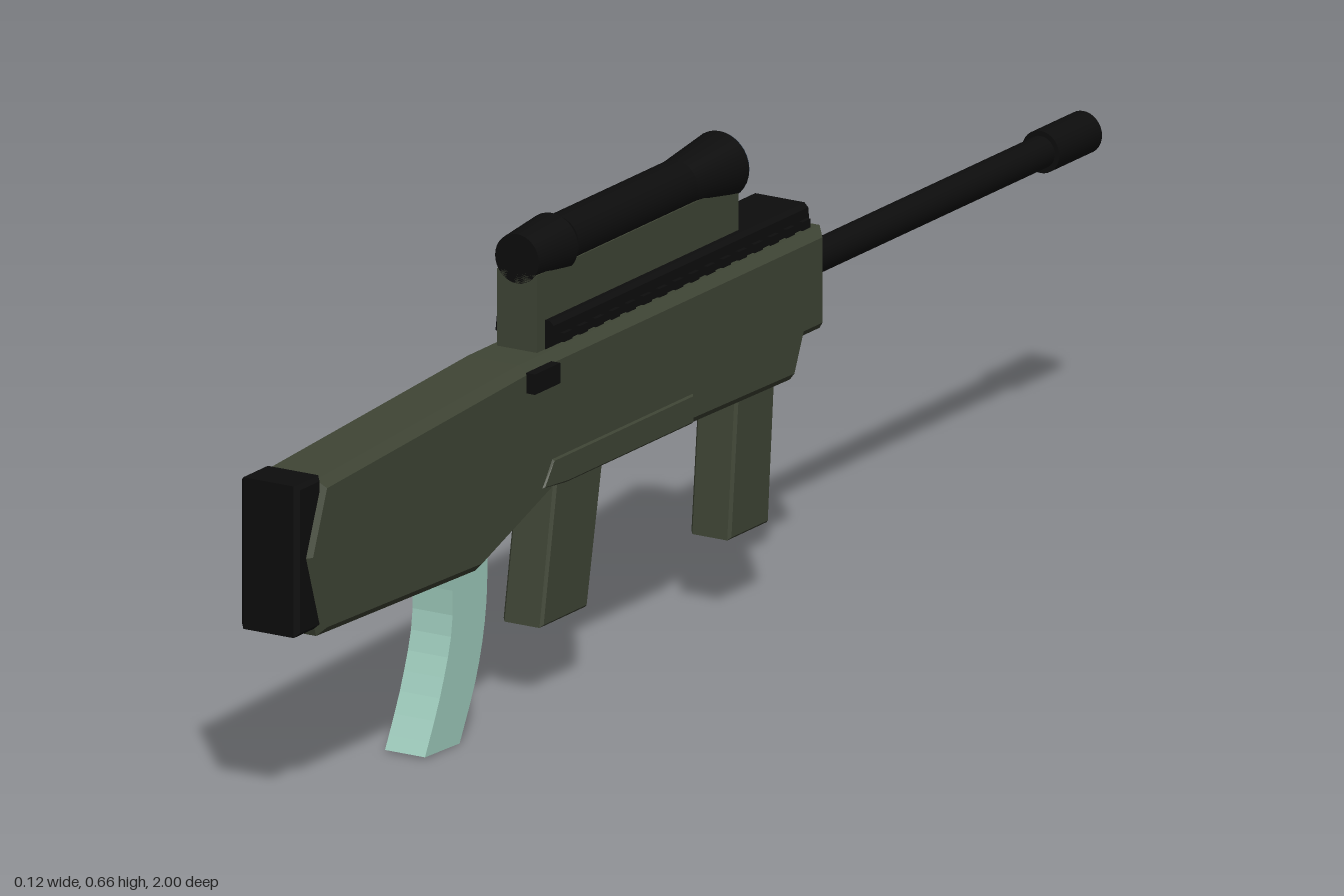
import * as THREE from 'three';

const CX = -0.0055; // centre plane of the symmetric parts

export function createModel() {
  const group = new THREE.Group();
  const mat = (name, color) => {
    const m = new THREE.MeshStandardMaterial({ color });
    m.name = name;
    return m;
  };
  const olive = mat('olive', 0x3f4535);
  const black = mat('black', 0x0d0d0d);
  const teal = mat('pale teal', 0x9fccbd);
  const glass = mat('lens blue', 0x2f3f50);

  const add = (name, geo, material) => {
    const m = new THREE.Mesh(geo, material);
    m.name = name;
    group.add(m);
    return m;
  };
  // Side profile of [z, y] points, given a width across x and a chamfer
  const slab = (name, pts, width, bevel, material) => {
    const shape = new THREE.Shape(pts.map(([z, y]) => new THREE.Vector2(z, y)));
    const geo = new THREE.ExtrudeGeometry(shape, {
      depth: width - 2 * bevel, bevelEnabled: bevel > 0, bevelSegments: 1,
      bevelSize: bevel, bevelThickness: bevel, bevelOffset: -bevel,
    });
    geo.translate(0, 0, -(width - 2 * bevel) / 2);
    geo.rotateY(-Math.PI / 2);
    geo.translate(CX, 0, 0);
    return add(name, geo, material);
  };
  const rect = (z0, z1, y0, y1) => [[z0, y0], [z1, y0], [z1, y1], [z0, y1]];
  // Round part along z, from zA (radius rA) to a lower zB (radius rB)
  const round = (name, zA, rA, zB, rB, y, material) => {
    const geo = new THREE.CylinderGeometry(rA, rB, zA - zB, 32);
    geo.rotateX(Math.PI / 2);
    geo.translate(CX, y, (zA + zB) / 2);
    return add(name, geo, material);
  };

  // Stock and receiver in one chamfered body
  slab('body', [
    [0.985, 0.36], [0.946, 0.458], [0.448, 0.486], [-0.29, 0.486], [-0.29, 0.345],
    [-0.24, 0.345], [-0.217, 0.293], [0.357, 0.302], [0.555, 0.232], [0.946, 0.244],
  ], 0.103, 0.012, olive);
  slab('sidePanel', [[0.41, 0.308], [0.385, 0.343], [0.04, 0.343], [0.04, 0.302], [0.35, 0.302]],
    0.108, 0.003, olive);
  slab('buttPad', rect(0.94, 1, 0.255, 0.463), 0.09, 0.006, black);

  // Two raked grips
  slab('rearGrip', [[0.34, 0.32], [0.378, 0.105], [0.265, 0.105], [0.222, 0.32]], 0.062, 0.004, olive);
  slab('frontGrip', [[-0.103, 0.32], [-0.083, 0.105], [-0.18, 0.105], [-0.197, 0.32]], 0.062, 0.004, olive);

  // Curved magazine
  const curve = (pts) => new THREE.SplineCurve(pts.map(([z, y]) => new THREE.Vector2(z, y)))
    .getPoints(10).map((p) => [p.x, p.y]);
  const rearEdge = curve([[0.602, 0.27], [0.598, 0.17], [0.625, 0.083], [0.665, 0.003]]);
  const frontEdge = curve([[0.58, 0], [0.538, 0.083], [0.515, 0.17], [0.511, 0.27]]);
  slab('magazine', [...rearEdge, ...frontEdge], 0.062, 0, teal);

  // Barrel and muzzle
  round('barrel', -0.27, 0.022, -0.92, 0.022, 0.422, black);
  round('muzzle', -0.895, 0.029, -1, 0.029, 0.422, black);

  // Accessory rail: cross-section swept along z, with ribs down both sides
  const half = [[0.032, 0.484], [0.032, 0.493], [0.046, 0.5], [0.044, 0.52], [0.038, 0.526]];
  const outline = [...half, ...half.map(([x, y]) => [-x, y]).reverse()];
  const railGeo = new THREE.ExtrudeGeometry(
    new THREE.Shape(outline.map(([x, y]) => new THREE.Vector2(x, y))),
    { depth: 0.625, bevelEnabled: false });
  railGeo.translate(CX, 0, -0.255);
  add('rail', railGeo, black);
  for (let i = 0; i < 16; i++) {
    const rib = new THREE.BoxGeometry(0.102, 0.012, 0.02);
    rib.translate(CX, 0.501, -0.24 + i * 0.039);
    add('railRib', rib, black);
  }

  // Scope on its mount
  const sy = 0.61;
  slab('scopeMount', rect(-0.105, 0.39, 0.48, 0.592), 0.062, 0, olive);
  round('eyepiece', 0.39, 0.034, 0.305, 0.041, sy, black);
  round('scopeTube', 0.292, 0.034, -0.01, 0.034, sy, black);
  round('objective', 0.0, 0.034, -0.107, 0.046, sy, black);
  round('lens', -0.106, 0.0445, -0.11, 0.0445, sy, glass);

  // Bolt handle on the left side only
  const bolt = new THREE.BoxGeometry(0.014, 0.028, 0.062);
  bolt.translate(0.052, 0.463, 0.417);
  add('boltHandle', bolt, black);
  const stem = new THREE.BoxGeometry(0.02, 0.014, 0.03);
  stem.translate(0.044, 0.466, 0.43);
  add('boltStem', stem, black);

  return group;
}
